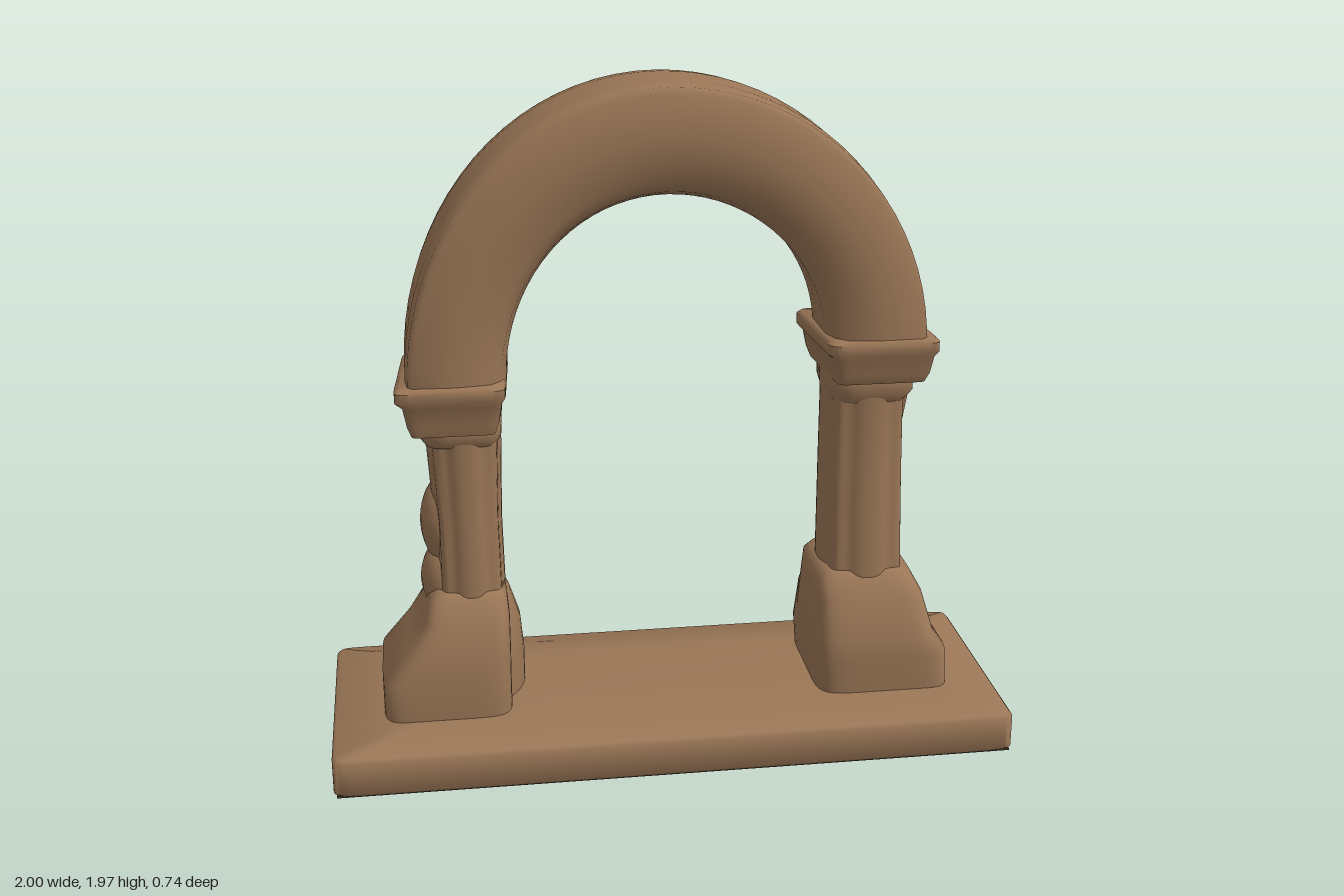
import * as THREE from 'three';
import { mergeVertices, toCreasedNormals } from 'three/addons/utils/BufferGeometryUtils.js';

const stone = new THREE.MeshStandardMaterial({ color: 0x9a7656 });
stone.name = 'sandstone';
const darkStone = new THREE.MeshStandardMaterial({ color: 0x43382b });
darkStone.name = 'dark underside';

// Skin a list of equal-length rings and close both ends with fans.
function loft(name, rings, crease = 0.8) {
  const n = rings[0].length, pos = [], index = [];
  rings.forEach(r => r.forEach(p => pos.push(p.x, p.y, p.z)));
  for (let i = 0; i < rings.length - 1; i++) {
    for (let j = 0; j < n; j++) {
      const a = i * n + j, b = i * n + (j + 1) % n;
      index.push(a, b, a + n, b, b + n, a + n);
    }
  }
  [0, rings.length - 1].forEach(k => {
    const c = new THREE.Vector3();
    rings[k].forEach(p => c.addScaledVector(p, 1 / n));
    const ci = pos.length / 3;
    pos.push(c.x, c.y, c.z);
    for (let j = 0; j < n; j++) {
      const a = k * n + j, b = k * n + (j + 1) % n;
      if (k === 0) index.push(ci, b, a); else index.push(ci, a, b);
    }
  });
  const g = new THREE.BufferGeometry();
  g.setAttribute('position', new THREE.Float32BufferAttribute(pos, 3));
  g.setIndex(index);
  const mesh = new THREE.Mesh(toCreasedNormals(mergeVertices(g, 1e-5), crease), stone);
  mesh.name = name;
  return mesh;
}

// Horizontal ring between x0..x1 and z0..z1; power 2 is an ellipse, higher is squarer.
function ring([y, x0, x1, z0, z1], { power = 4, shear = 0, lobes = 0, sides = 40 }) {
  const bend = v => Math.sign(v) * Math.abs(v) ** (2 / power);
  return Array.from({ length: sides }, (_, i) => {
    const t = ((i + 0.5) / sides) * Math.PI * 2;
    const k = 1 - lobes * (1 - Math.cos(8 * t)) / 2;
    const z = (z0 + z1) / 2 - bend(Math.sin(t)) * k * (z1 - z0) / 2;
    const x = (x0 + x1) / 2 + bend(Math.cos(t)) * k * (x1 - x0) / 2 + shear * z;
    return new THREE.Vector3(x, y, z);
  });
}
const stack = (name, levels, options, crease) =>
  loft(name, levels.map(l => ring(l, options)), crease);

// Arch lofted along a half ellipse, with softened edges and a bulging soffit.
function arch() {
  // [blend from soffit 0 to crown 1, z]
  const section = [
    [0, -0.1], [0, 0.07], [0.06, 0.125], [0.17, 0.155], [0.5, 0.17], [0.93, 0.165], [0.98, 0.15],
    [1, 0.08], [1, -0.1], [0.98, -0.165], [0.93, -0.18], [0.5, -0.18], [0.17, -0.17], [0.06, -0.15],
  ];
  const rings = [];
  for (let i = 0; i <= 40; i++) {
    const t = (i / 40) * Math.PI;
    const spring = 1.17 + 0.03 * Math.cos(t);
    rings.push(section.map(([k, z]) => {
      const rx = THREE.MathUtils.lerp(0.46, 0.745, k);
      const top = THREE.MathUtils.lerp(1.655, 1.97, k);
      return new THREE.Vector3(rx * Math.cos(t), spring + (top - spring) * Math.sin(t), z);
    }));
  }
  return loft('arch', rings, 0.9);
}

// Worn stone lump: a stretched sphere.
function lump(x, y, z, sx, sy, sz) {
  const m = new THREE.Mesh(new THREE.SphereGeometry(1, 20, 14), stone);
  m.name = 'wornLump';
  m.position.set(x, y, z);
  m.scale.set(sx, sy, sz);
  return m;
}

export function createModel() {
  const model = new THREE.Group();
  model.name = 'archway';

  // Base slab with a dark underside
  model.add(stack('plinth', [
    [0.002, -0.99, 0.99, -0.365, 0.36],
    [0.012, -1, 1, -0.375, 0.37],
    [0.108, -1, 1, -0.375, 0.37],
    [0.118, -0.992, 0.992, -0.367, 0.362],
    [0.13, -0.75, 0.75, -0.22, 0.18],
  ], { power: 40, sides: 64 }, 0.9));
  const underside = new THREE.Mesh(new THREE.BoxGeometry(1.98, 0.006, 0.725), darkStone);
  underside.name = 'underside';
  underside.position.set(0, 0.003, -0.0025);
  model.add(underside, arch());

  // Pillar on +x, with the higher capital
  const left = new THREE.Group();
  left.name = 'leftPillar';
  left.add(
    stack('footBlock', [
      [0.11, 0.45, 0.86, -0.2, 0.18],
      [0.24, 0.44, 0.85, -0.2, 0.19],
      [0.3, 0.44, 0.81, -0.2, 0.19],
      [0.42, 0.45, 0.775, -0.19, 0.16],
      [0.475, 0.455, 0.745, -0.18, 0.13],
      [0.5, 0.475, 0.71, -0.16, 0.11],
    ], { power: 6 }, 1.1),
    stack('backMound', [
      [0.11, 0.45, 0.83, -0.33, 0.1],
      [0.22, 0.44, 0.82, -0.32, 0.1],
      [0.35, 0.45, 0.78, -0.28, 0.08],
      [0.45, 0.47, 0.74, -0.21, 0.06],
      [0.49, 0.5, 0.7, -0.17, 0.04],
    ], { power: 3 }, 1.1),
    stack('shaft', [
      [0.47, 0.475, 0.73, -0.18, 0.125],
      [0.8, 0.475, 0.72, -0.175, 0.12],
      [1.02, 0.475, 0.715, -0.17, 0.12],
      [1.12, 0.47, 0.73, -0.18, 0.13],
    ], { power: 3, lobes: 0.08, sides: 64 }),
    stack('neckRing', [
      [1.03, 0.485, 0.71, -0.16, 0.11],
      [1.06, 0.475, 0.73, -0.175, 0.13],
      [1.1, 0.475, 0.73, -0.175, 0.13],
      [1.13, 0.485, 0.72, -0.16, 0.12],
    ], { power: 4 }),
    stack('capital', [
      [1.1, 0.475, 0.735, -0.17, 0.15],
      [1.13, 0.465, 0.745, -0.185, 0.165],
      [1.18, 0.455, 0.755, -0.19, 0.17],
      [1.195, 0.44, 0.765, -0.205, 0.18],
      [1.225, 0.44, 0.765, -0.205, 0.18],
      [1.235, 0.45, 0.755, -0.195, 0.17],
    ], { power: 14, shear: 0.07 }),
    stack('bracket', [
      [0.92, 0.675, 0.725, -0.04, -0.02],
      [1.02, 0.665, 0.735, -0.08, 0.02],
      [1.12, 0.655, 0.745, -0.11, 0.05],
    ], { power: 3, sides: 16 }),
  );

  // Pillar on -x, with the lower capital and a worn outer side
  const right = new THREE.Group();
  right.name = 'rightPillar';
  right.add(
    stack('footBlock', [
      [0.11, -0.85, -0.47, -0.2, 0.18],
      [0.25, -0.85, -0.47, -0.2, 0.19],
      [0.34, -0.77, -0.47, -0.2, 0.18],
      [0.42, -0.72, -0.47, -0.19, 0.16],
      [0.475, -0.705, -0.475, -0.18, 0.13],
      [0.5, -0.68, -0.485, -0.16, 0.11],
    ], { power: 6 }, 1.1),
    stack('backMound', [
      [0.11, -0.84, -0.42, -0.33, 0.12],
      [0.22, -0.83, -0.42, -0.33, 0.12],
      [0.33, -0.77, -0.43, -0.295, 0.1],
      [0.43, -0.72, -0.46, -0.22, 0.07],
      [0.49, -0.68, -0.49, -0.17, 0.04],
    ], { power: 2.3 }, 1.1),
    stack('shaft', [
      [0.47, -0.68, -0.475, -0.17, 0.12],
      [0.7, -0.68, -0.48, -0.165, 0.12],
      [0.95, -0.695, -0.475, -0.17, 0.12],
      [1.05, -0.71, -0.47, -0.175, 0.13],
    ], { power: 3, lobes: 0.08, sides: 64 }),
    stack('neckRing', [
      [0.95, -0.7, -0.485, -0.155, 0.11],
      [0.975, -0.715, -0.475, -0.17, 0.13],
      [1.01, -0.715, -0.475, -0.17, 0.13],
      [1.03, -0.7, -0.485, -0.16, 0.11],
    ], { power: 4 }),
    stack('capital', [
      [1.0, -0.725, -0.485, -0.17, 0.15],
      [1.03, -0.735, -0.475, -0.185, 0.16],
      [1.09, -0.745, -0.465, -0.19, 0.17],
      [1.11, -0.765, -0.455, -0.21, 0.185],
      [1.14, -0.765, -0.455, -0.21, 0.185],
      [1.15, -0.755, -0.465, -0.2, 0.175],
    ], { power: 14, shear: -0.08 }),
    lump(-0.64, 0.68, -0.03, 0.08, 0.14, 0.1),
    lump(-0.64, 0.5, -0.03, 0.085, 0.12, 0.11),
  );

  model.add(left, right);
  return model;
}
